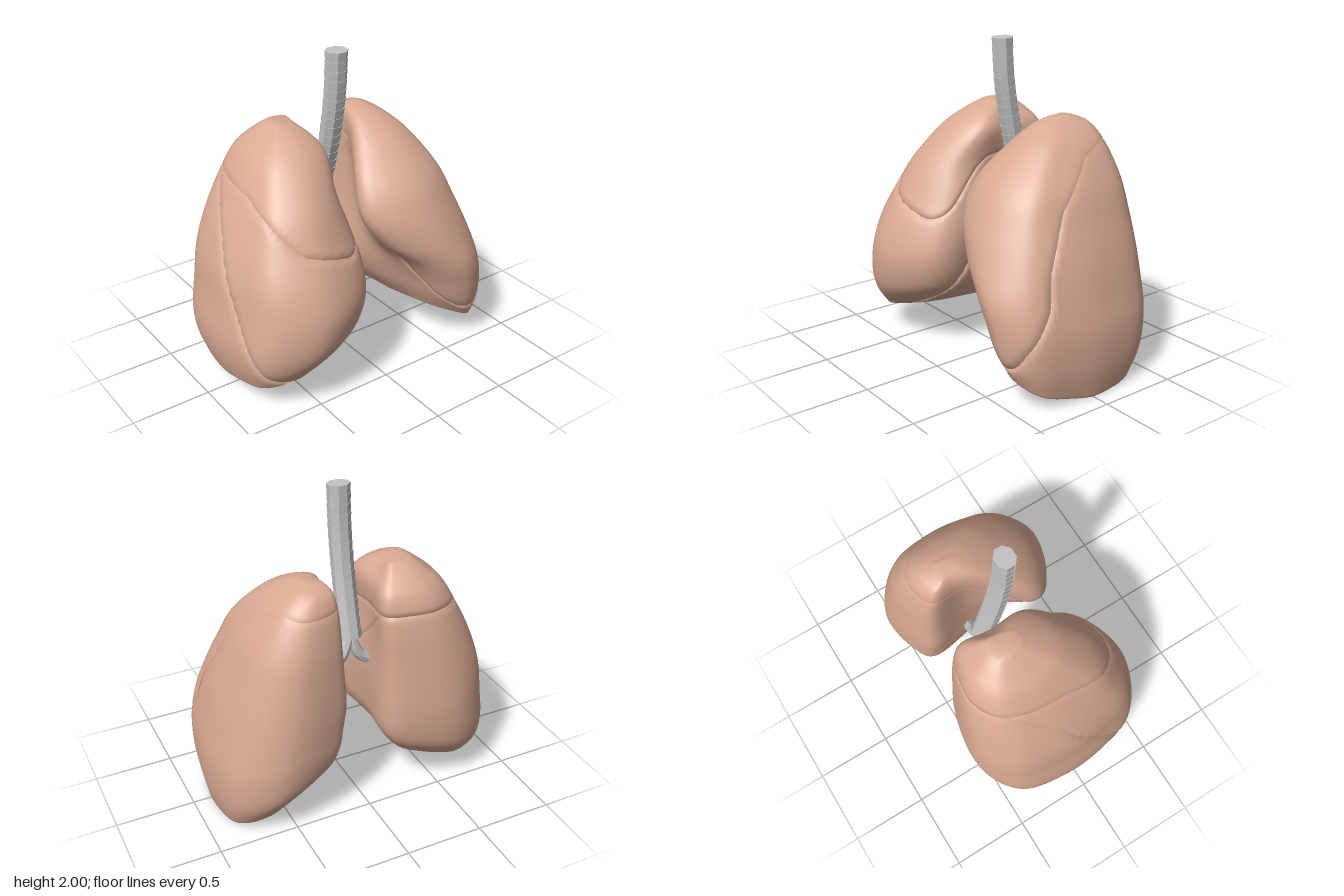
import * as THREE from 'three';

const SEG = 84; // points around each cross-section
const { lerp, clamp, smoothstep } = THREE.MathUtils;

// piecewise-linear lookup through [x, y] pairs
function ramp(pairs, x) {
  if (x <= pairs[0][0]) return pairs[0][1];
  for (let i = 1; i < pairs.length; i++) {
    const [x0, y0] = pairs[i - 1], [x1, y1] = pairs[i];
    if (x <= x1) return lerp(y0, y1, (x - x0) / (x1 - x0));
  }
  return pairs[pairs.length - 1][1];
}

// levels, top to bottom: height, inner edge at front / hilum / back, outer edge, front z, back z
const leftLevels = [
  [1.54, 0.24, 0.23, 0.22, 0.35, -0.14, -0.32],
  [1.50, 0.19, 0.20, 0.19, 0.43, -0.04, -0.40],
  [1.40, 0.13, 0.19, 0.17, 0.54, 0.12, -0.46],
  [1.20, 0.03, 0.20, 0.16, 0.67, 0.33, -0.52],
  [1.00, 0.01, 0.21, 0.15, 0.75, 0.44, -0.55],
  [0.80, 0.12, 0.22, 0.14, 0.82, 0.51, -0.57],
  [0.60, 0.28, 0.22, 0.16, 0.87, 0.55, -0.58],
  [0.40, 0.36, 0.24, 0.18, 0.91, 0.54, -0.58],
  [0.18, 0.41, 0.30, 0.22, 0.91, 0.51, -0.55],
  [0.00, 0.46, 0.40, 0.30, 0.88, 0.45, -0.46],
];
const rightLevels = [
  [1.56, 0.24, 0.22, 0.22, 0.38, -0.10, -0.30],
  [1.50, 0.17, 0.18, 0.17, 0.46, 0.02, -0.38],
  [1.40, 0.12, 0.13, 0.11, 0.57, 0.15, -0.47],
  [1.20, 0.14, 0.14, 0.11, 0.69, 0.32, -0.53],
  [1.00, 0.10, 0.13, 0.12, 0.79, 0.43, -0.56],
  [0.80, 0.07, 0.12, 0.12, 0.86, 0.53, -0.58],
  [0.60, 0.07, 0.13, 0.12, 0.89, 0.585, -0.59],
  [0.40, 0.10, 0.15, 0.13, 0.92, 0.58, -0.58],
  [0.25, 0.16, 0.20, 0.18, 0.91, 0.54, -0.55],
  [0.11, 0.30, 0.28, 0.26, 0.87, 0.45, -0.46],
];

// bean-shaped horizontal outline of a lung
function outline([, xf, xh, xb, xo, zf, zb]) {
  const p = (x, t) => new THREE.Vector3(x, 0, lerp(zb, zf, t));
  return new THREE.CatmullRomCurve3([
    p(xf, 0.77), p(lerp(xf, xo, 0.16), 0.93), p(lerp(xf, xo, 0.52), 1),
    p(lerp(xf, xo, 0.86), 0.89), p(lerp(xf, xo, 0.97), 0.68), p(xo, 0.42),
    p(lerp(xb, xo, 0.91), 0.14), p(lerp(xb, xo, 0.6), 0), p(lerp(xb, xo, 0.2), 0.03),
    p(xb, 0.13), p(xh, 0.43),
  ], true, 'catmullrom', 0.5);
}

// rows of points over the whole lung, each with its row centre
function lungRows(levels, lift, dome) {
  const columns = levels[0].map((_, c) =>
    new THREE.SplineCurve(levels.map((l, i) => new THREE.Vector2(i, l[c]))));
  const floor = levels[levels.length - 1][0];
  const rows = [];
  const addRow = (t, k, extra) => {
    const level = columns.map((c) => c.getPoint(t).y);
    const curve = outline(level);
    const centre = new THREE.Vector3((level[3] + level[4]) / 2 + 0.03, 0, (level[5] + level[6]) / 2);
    const w = Math.pow(clamp(1 - (level[0] - floor) / 0.9, 0, 1), 2);
    const points = [];
    for (let i = 0; i < SEG; i++) {
      const p = curve.getPoint(i / SEG).sub(centre).multiplyScalar(k).add(centre);
      p.y = level[0] + lift(p.x, p.z) * w + extra;
      points.push(p);
    }
    rows.push({ points, centre });
  };
  for (let j = 0; j < 6; j++) addRow(0, j / 6, 0.012 * (1 - (j / 6) ** 2)); // apex
  for (let j = 0; j <= 64; j++) addRow(j / 64, 1, 0);                       // sides
  for (let j = 11; j >= 0; j--) addRow(1, j / 12, dome * (1 - (j / 12) ** 2)); // hollow base
  return rows;
}

// one lobe: the part of the lung where inside(p) > 0, tucked in along the fissures
function lobe(rows, inside, mirror) {
  const pos = [], side = [], index = [];
  for (const { points, centre } of rows) {
    for (const p of points) {
      const s = inside(p);
      const k = 1 - 0.12 * smoothstep(-s, -0.012, 0.045);
      const x = lerp(centre.x, p.x, k);
      pos.push(mirror ? -x : x, p.y, lerp(centre.z, p.z, k));
      side.push(s);
    }
  }
  const tri = (a, b, c) => {
    if (Math.max(side[a], side[b], side[c]) < -0.05) return;
    if (mirror) index.push(a, c, b);
    else index.push(a, b, c);
  };
  for (let j = 0; j < rows.length - 1; j++) {
    for (let i = 0; i < SEG; i++) {
      const n = (i + 1) % SEG;
      const a = j * SEG + i, b = j * SEG + n, c = b + SEG, d = a + SEG;
      tri(a, d, c);
      tri(a, c, b);
    }
  }
  const g = new THREE.BufferGeometry();
  g.setAttribute('position', new THREE.Float32BufferAttribute(pos, 3));
  g.setIndex(index);
  g.computeVertexNormals();
  return g;
}

// fissure heights
const leftOblique = (p) => ramp([[-0.45, 1.4], [-0.38, 1.42], [-0.17, 1.35], [0.09, 1.1],
  [0.25, 0.8], [0.31, 0.58], [0.45, 0.36], [0.5, 0.22], [0.56, 0.1]], p.z);
const rightOblique = (p) => ramp([[-0.45, 1.35], [-0.08, 0.98], [0.3, 0.41], [0.5, 0.1]], p.z);
const rightHorizontal = (p) => ramp([[-0.5, 1.3], [0, 1.24], [0.2, 1.14], [0.42, 0.99]], p.z)
  - 0.3 * (0.55 - p.x) * smoothstep(p.z, 0, 0.35);

export function createModel() {
  const model = new THREE.Group();
  const tissue = new THREE.MeshStandardMaterial({ color: 0xd9aa93, side: THREE.DoubleSide });
  tissue.name = 'lungTissue';
  const cartilage = new THREE.MeshStandardMaterial({ color: 0xc4c4c4, flatShading: true, side: THREE.DoubleSide });
  cartilage.name = 'airwayGrey';
  const add = (parent, name, geometry, material) => {
    const mesh = new THREE.Mesh(geometry, material);
    mesh.name = name;
    parent.add(mesh);
    return mesh;
  };

  // left lung: two lobes
  const leftLung = new THREE.Group();
  leftLung.name = 'leftLung';
  const leftRows = lungRows(leftLevels,
    (x, z) => Math.max(0, 0.52 * (0.88 - x)) + 0.16 * Math.max(0, z), 0.1);
  add(leftLung, 'leftUpperLobe', lobe(leftRows, (p) => (p.y - leftOblique(p)) * 0.6, false), tissue);
  add(leftLung, 'leftLowerLobe', lobe(leftRows, (p) => (leftOblique(p) - p.y) * 0.6, false), tissue);

  // right lung: three lobes
  const rightLung = new THREE.Group();
  rightLung.name = 'rightLung';
  const rightRows = lungRows(rightLevels,
    (x, z) => Math.max(0, 0.27 * (0.88 - x)) + 0.06 * Math.max(0, z), 0.12);
  const overH = (p) => p.y - rightHorizontal(p);
  const overO = (p) => (p.y - rightOblique(p)) * 0.65;
  add(rightLung, 'rightUpperLobe', lobe(rightRows, overH, true), tissue);
  add(rightLung, 'rightMiddleLobe', lobe(rightRows, (p) => Math.min(-overH(p), overO(p)), true), tissue);
  add(rightLung, 'rightLowerLobe', lobe(rightRows, (p) => Math.min(-overH(p), -overO(p)), true), tissue);

  // windpipe: stacked eight-sided rings along a gentle backward curve
  const airway = new THREE.Group();
  airway.name = 'airway';
  const v = (x, y, z) => new THREE.Vector3(x, y, z);
  const path = new THREE.CatmullRomCurve3([v(-0.01, 1.995, -0.02), v(-0.01, 1.75, -0.035),
    v(-0.01, 1.5, -0.075), v(-0.01, 1.25, -0.135), v(-0.01, 1.06, -0.19)]);
  const RINGS = 16;
  for (let i = 0; i < RINGS; i++) {
    const a = path.getPointAt(i / RINGS), b = path.getPointAt((i + 1) / RINGS);
    const ring = add(airway, 'windpipeRing', new THREE.CylinderGeometry(0.073, 0.069, a.distanceTo(b) + 0.004, 8)
      .rotateY(Math.PI / 8).scale(1, 1, 0.88), cartilage);
    ring.position.copy(a).add(b).multiplyScalar(0.5);
    ring.quaternion.setFromUnitVectors(v(0, 1, 0), a.clone().sub(b).normalize());
  }

  // two main branches
  for (const s of [-1, 1]) {
    const branch = new THREE.CatmullRomCurve3([v(-0.005, 1.09, -0.185), v(s * 0.03, 1.0, -0.2),
      v(s * 0.065, 0.94, -0.205), v(s * 0.12, 0.9, -0.205)]);
    add(airway, s < 0 ? 'rightBronchus' : 'leftBronchus', new THREE.TubeGeometry(branch, 8, 0.036, 8), cartilage);
  }

  model.add(leftLung, rightLung, airway);
  return model;
}
